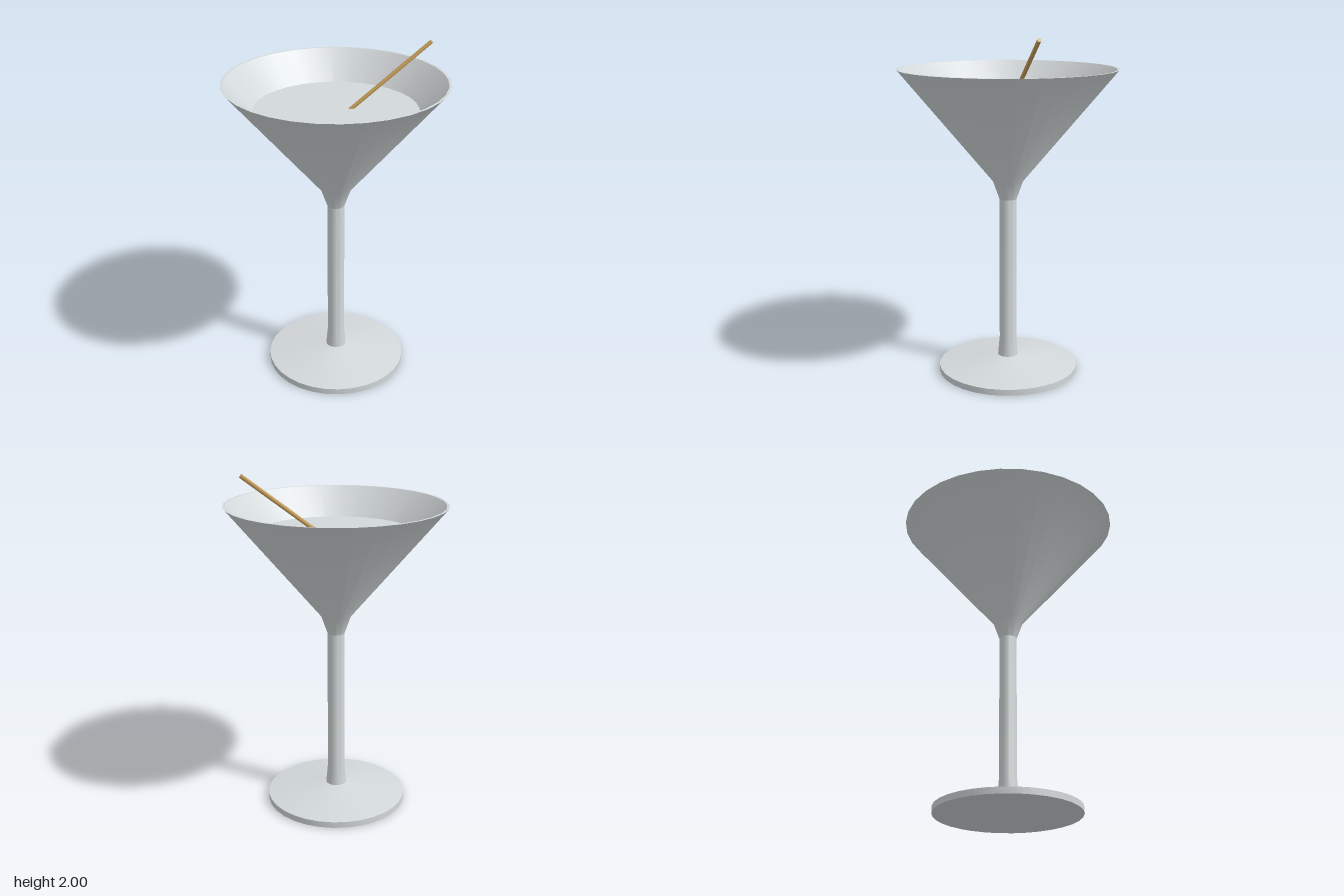
import * as THREE from 'three';
import { toCreasedNormals } from 'three/addons/utils/BufferGeometryUtils.js';

const SEGMENTS = 32;

// Revolve a [radius, height] profile, keeping hard edges sharp
function turned(name, profile, material) {
  const points = profile.map(([r, y]) => new THREE.Vector2(r, y));
  const geometry = toCreasedNormals(new THREE.LatheGeometry(points, SEGMENTS), 0.5);
  const mesh = new THREE.Mesh(geometry, material);
  mesh.name = name;
  return mesh;
}

// Straight rod between two points
function rod(name, from, to, radius, material) {
  const axis = to.clone().sub(from);
  const mesh = new THREE.Mesh(
    toCreasedNormals(new THREE.CylinderGeometry(radius, radius, axis.length(), 8), 0.9), material);
  mesh.position.copy(from).add(to).multiplyScalar(0.5);
  mesh.quaternion.setFromUnitVectors(new THREE.Vector3(0, 1, 0), axis.normalize());
  mesh.name = name;
  return mesh;
}

export function createModel() {
  const glass = new THREE.MeshStandardMaterial({ color: 0xd3d8da });
  glass.name = 'glass grey';
  const wood = new THREE.MeshStandardMaterial({ color: 0xc9a05a });
  wood.name = 'wood tan';

  const group = new THREE.Group();
  group.name = 'cocktailGlass';

  // Disc foot with a gently sloping top
  group.add(turned('foot', [[0, 0], [0.413, 0], [0.413, 0.036], [0.06, 0.09]], glass));

  // Stem flaring slightly at the foot
  group.add(turned('stem', [[0.06, 0.09], [0.05, 0.2], [0.05, 1.05]], glass));

  // Conical bowl: neck, outer wall, rim, inner wall
  group.add(turned('bowl', [
    [0.05, 1.05], [0.087, 1.155], [0.631, 1.805], [0.616, 1.805], [0.04, 1.18], [0, 1.18],
  ], glass));

  // Drink surface
  const drink = new THREE.Mesh(new THREE.CircleGeometry(0.465, SEGMENTS), glass);
  drink.rotation.x = -Math.PI / 2;
  drink.position.y = 1.641;
  drink.name = 'drinkSurface';
  group.add(drink);

  // Cocktail stick leaning over the rim
  group.add(rod('cocktailStick',
    new THREE.Vector3(-0.04, 1.54, 0), new THREE.Vector3(0.54, 1.99, 0), 0.012, wood));

  return group;
}
